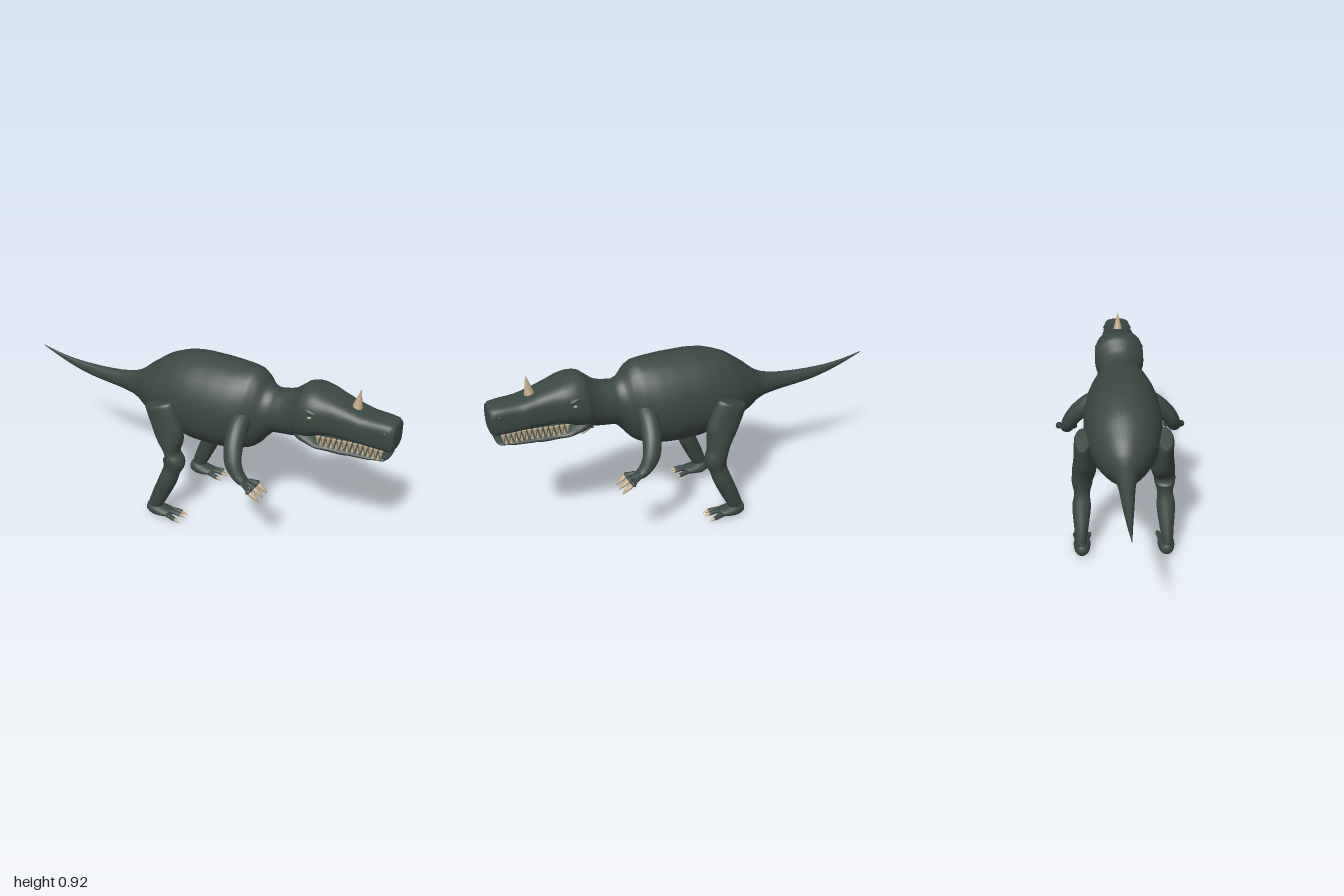
import * as THREE from 'three';

const hide = new THREE.MeshStandardMaterial({ name: 'dark green hide', color: 0x3b4843 });
const ivory = new THREE.MeshStandardMaterial({ name: 'ivory', color: 0xc2ab88 });
const V = (x, y, z) => new THREE.Vector3(x, y, z);

// Smooth tube through stations [x, y, z, half width, half height, squareness = 2].
// With a fixed axis every ring stands square to it, otherwise to the path.
function loft(stations, { axis = null, steps = 5, sides = 20 } = {}) {
  const path = new THREE.CatmullRomCurve3(stations.map(s => V(s[0], s[1], s[2])));
  const size = new THREE.CatmullRomCurve3(stations.map(s => V(s[3], s[4], s[5] ?? 2)));
  const rings = (stations.length - 1) * steps;
  const pos = [], idx = [];
  const power = (c, n) => Math.sign(c) * Math.abs(c) ** (2 / n);
  for (let i = 0; i <= rings; i++) {
    const c = path.getPoint(i / rings), r = size.getPoint(i / rings);
    const t = axis ?? path.getTangent(i / rings);
    const side = V(0, 0, 1).addScaledVector(t, -t.z).normalize();
    const up = t.clone().cross(side);
    for (let j = 0; j < sides; j++) {
      const a = (j / sides) * Math.PI * 2;
      const p = c.clone()
        .addScaledVector(side, power(Math.cos(a), r.z) * Math.max(r.x, 0.001))
        .addScaledVector(up, power(Math.sin(a), r.z) * Math.max(r.y, 0.001));
      pos.push(p.x, p.y, p.z);
    }
  }
  for (let i = 0; i < rings; i++) for (let j = 0; j < sides; j++) {
    const k = (j + 1) % sides, a = i * sides + j, b = i * sides + k;
    idx.push(a, b, a + sides, b, b + sides, a + sides);
  }
  // end caps
  const first = pos.length / 3, last = rings * sides;
  const p0 = path.getPoint(0), p1 = path.getPoint(1);
  pos.push(p0.x, p0.y, p0.z, p1.x, p1.y, p1.z);
  for (let j = 0; j < sides; j++) {
    const k = (j + 1) % sides;
    idx.push(first, k, j, first + 1, last + j, last + k);
  }
  const g = new THREE.BufferGeometry();
  g.setAttribute('position', new THREE.Float32BufferAttribute(pos, 3));
  g.setIndex(idx);
  g.computeVertexNormals();
  return g;
}

function add(parent, name, geometry, material) {
  const m = new THREE.Mesh(geometry, material);
  m.name = name;
  parent.add(m);
  return m;
}

// Cone from base point to tip
function spike(parent, name, base, tip, radius, sides = 10) {
  const d = tip.clone().sub(base), len = d.length();
  const m = add(parent, name, new THREE.ConeGeometry(radius, len, sides), ivory);
  m.position.copy(base).addScaledVector(d, 0.5);
  m.quaternion.setFromUnitVectors(V(0, 1, 0), d.normalize());
}

// Body station from top and bottom heights
const slice = (x, top, bottom, w, n = 2) => [x, (top + bottom) / 2, 0, w, (top - bottom) / 2, n];
const X = V(1, 0, 0);

function buildLeg(s) {
  const leg = new THREE.Group();
  leg.name = s > 0 ? 'leftOrRightNearLeg' : 'farLeg';
  leg.name = s > 0 ? 'frontSideLeg' : 'backSideLeg';
  const z = s * 0.215;
  const pinch = s > 0 ? 0.034 : 0.055; // one leg narrows above the knee
  add(leg, 'thighAndShin', loft([
    [-0.147, 0.66, s * 0.2, 0.035, 0.07], [-0.142, 0.645, s * 0.2, 0.042, 0.08],
    [-0.1, 0.53, s * 0.195, 0.052, 0.083], [-0.082, 0.46, s * 0.195, 0.06, 0.066],
    [-0.068, 0.4, s * 0.205, 0.054, pinch], [-0.058, 0.36, s * 0.208, 0.052, 0.058],
    [-0.072, 0.3, s * 0.21, 0.04, 0.045], [-0.092, 0.24, s * 0.213, 0.047, 0.046],
    [-0.14, 0.13, s * 0.217, 0.035, 0.042], [-0.17, 0.06, s * 0.22, 0.026, 0.034],
    [-0.175, 0.03, s * 0.22, 0.018, 0.022],
  ]), hide);
  add(leg, 'foot', loft([
    [-0.217, 0.042, z, 0.006, 0.006], [-0.208, 0.04, z, 0.028, 0.027],
    [-0.17, 0.035, z, 0.04, 0.035], [-0.12, 0.034, z, 0.043, 0.025],
    [-0.085, 0.036, z, 0.036, 0.017], [-0.07, 0.036, z, 0.01, 0.006],
  ], { axis: X }), hide);
  for (const k of [-1, 0, 1]) {
    const tz = z + k * 0.037, y = k ? 0.03 : 0.041, x = k ? -0.035 : -0.025;
    add(leg, 'toe', loft([
      [-0.11, 0.034, z + k * 0.018, 0.015, 0.015], [x - 0.03, y + 0.003, tz - k * 0.006, 0.013, 0.012],
      [x, y, tz, 0.011, 0.011], [x + 0.008, y - 0.001, tz, 0.004, 0.004],
    ], { sides: 10, steps: 3 }), hide);
    spike(leg, 'toeClaw', V(x, y, tz), V(x + 0.035, y - 0.01, tz + k * 0.004), 0.01);
  }
  return leg;
}

function buildArm(s) {
  const arm = new THREE.Group();
  arm.name = s > 0 ? 'frontSideArm' : 'backSideArm';
  add(arm, 'upperArmAndForearm', loft([
    [0.27, 0.68, s * 0.1, 0.04, 0.045], [0.275, 0.635, s * 0.165, 0.05, 0.048],
    [0.288, 0.575, s * 0.23, 0.045, 0.046], [0.31, 0.51, s * 0.272, 0.037, 0.042],
    [0.345, 0.46, s * 0.285, 0.034, 0.03], [0.375, 0.437, s * 0.287, 0.03, 0.022],
    [0.385, 0.432, s * 0.287, 0.012, 0.008],
  ]), hide);
  add(arm, 'hand', loft([
    [0.355, 0.445, s * 0.287, 0.018, 0.012], [0.38, 0.435, s * 0.288, 0.03, 0.016],
    [0.405, 0.428, s * 0.289, 0.026, 0.012], [0.412, 0.426, s * 0.289, 0.008, 0.004],
  ], { sides: 12 }), hide);
  for (const k of [-1, 0, 1]) {
    const z = s * 0.29 + k * 0.042;
    add(arm, 'finger', loft([
      [0.38, 0.435, s * 0.288 + k * 0.015, 0.012, 0.012], [0.412, 0.43, z - k * 0.008, 0.011, 0.011],
      [0.435, 0.418, z, 0.011, 0.011], [0.441, 0.414, z, 0.004, 0.004],
    ], { sides: 10, steps: 3 }), hide);
    add(arm, 'fingerClaw', loft([
      [0.427, 0.424, z, 0.008, 0.008], [0.44, 0.415, z, 0.013, 0.012],
      [0.462, 0.4, z, 0.011, 0.009], [0.478, 0.386, z, 0.005, 0.004], [0.481, 0.382, z, 0.001, 0.001],
    ], { sides: 10, steps: 3 }), ivory);
  }
  return arm;
}

function buildHead() {
  const head = new THREE.Group();
  head.name = 'head';
  // skull and upper jaw
  add(head, 'skullAndSnout', loft([
    slice(0.42, 0.8, 0.58, 0.095), slice(0.48, 0.822, 0.585, 0.102), slice(0.53, 0.862, 0.598, 0.118),
    slice(0.58, 0.883, 0.615, 0.13, 2.3), slice(0.64, 0.872, 0.65, 0.124, 2.6),
    slice(0.7, 0.852, 0.664, 0.104, 3), slice(0.78, 0.828, 0.666, 0.09, 3.3),
    slice(0.86, 0.812, 0.664, 0.08, 3.5), slice(0.94, 0.81, 0.66, 0.075, 3.5),
    slice(0.98, 0.806, 0.66, 0.071, 3.5), slice(0.995, 0.795, 0.67, 0.06, 3.2),
    slice(1, 0.77, 0.695, 0.035, 3),
  ], { axis: X, sides: 32, steps: 4 }), hide);
  add(head, 'lowerJaw', loft([
    slice(0.5, 0.69, 0.615, 0.07), slice(0.55, 0.69, 0.598, 0.105), slice(0.62, 0.66, 0.592, 0.115),
    slice(0.7, 0.638, 0.592, 0.1, 2.4), slice(0.8, 0.634, 0.596, 0.085, 2.6),
    slice(0.9, 0.633, 0.604, 0.076, 2.6), slice(0.96, 0.635, 0.612, 0.066, 2.4),
    slice(0.975, 0.63, 0.618, 0.04),
  ], { axis: X, sides: 24 }), hide);
  // horn
  spike(head, 'horn', V(0.793, 0.815, 0), V(0.805, 0.918, 0), 0.026, 20);
  for (const s of [-1, 1]) {
    // teeth follow the taper of the jaws
    for (let i = 0; i < 13; i++) {
      const x = 0.655 + i * 0.0245;
      const z = s * (0.102 - 0.034 * Math.min(1, i / 8));
      spike(head, 'upperTooth', V(x, 0.676, z), V(x + 0.001, 0.636, z + s * 0.006), 0.011, 8);
      if (i) spike(head, 'lowerTooth', V(x - 0.012, 0.625, z * 0.96), V(x - 0.012, 0.66, z * 0.98), 0.008, 8);
    }
    const eye = add(head, 'eye', new THREE.SphereGeometry(0.013, 14, 10), ivory);
    eye.position.set(0.615, 0.774, s * 0.12);
    eye.scale.set(1.1, 0.75, 0.75);
    const brow = add(head, 'brow', new THREE.SphereGeometry(0.03, 16, 12), hide);
    brow.position.set(0.612, 0.796, s * 0.112);
    brow.scale.set(1.3, 0.5, 0.55);
    brow.rotation.z = -0.25;
    const nostril = add(head, 'nostril', new THREE.SphereGeometry(0.009, 10, 8), hide);
    nostril.position.set(0.955, 0.765, s * 0.07);
  }
  return head;
}

export function createModel() {
  const model = new THREE.Group();
  model.name = 'hornedReptile';
  // tail, trunk and neck in one skin
  add(model, 'tailTrunkAndNeck', loft([
    slice(-1, 0.661, 0.657, 0.002), slice(-0.9, 0.642, 0.618, 0.007), slice(-0.8, 0.631, 0.587, 0.014),
    slice(-0.7, 0.63, 0.566, 0.022), slice(-0.6, 0.635, 0.557, 0.03), slice(-0.5, 0.646, 0.55, 0.038),
    slice(-0.42, 0.665, 0.54, 0.05), slice(-0.37, 0.69, 0.525, 0.07), slice(-0.3, 0.75, 0.488, 0.115),
    slice(-0.2, 0.823, 0.452, 0.163), slice(-0.1, 0.863, 0.427, 0.187), slice(0, 0.877, 0.415, 0.196),
    slice(0.1, 0.88, 0.415, 0.194), slice(0.2, 0.88, 0.427, 0.181), slice(0.28, 0.876, 0.452, 0.153),
    slice(0.32, 0.853, 0.483, 0.128), slice(0.355, 0.812, 0.53, 0.106), slice(0.4, 0.799, 0.572, 0.097),
    slice(0.46, 0.812, 0.582, 0.098), slice(0.5, 0.82, 0.6, 0.09),
  ], { axis: X, sides: 32 }), hide);
  model.add(buildHead());
  for (const s of [-1, 1]) model.add(buildLeg(s), buildArm(s));
  return model;
}
